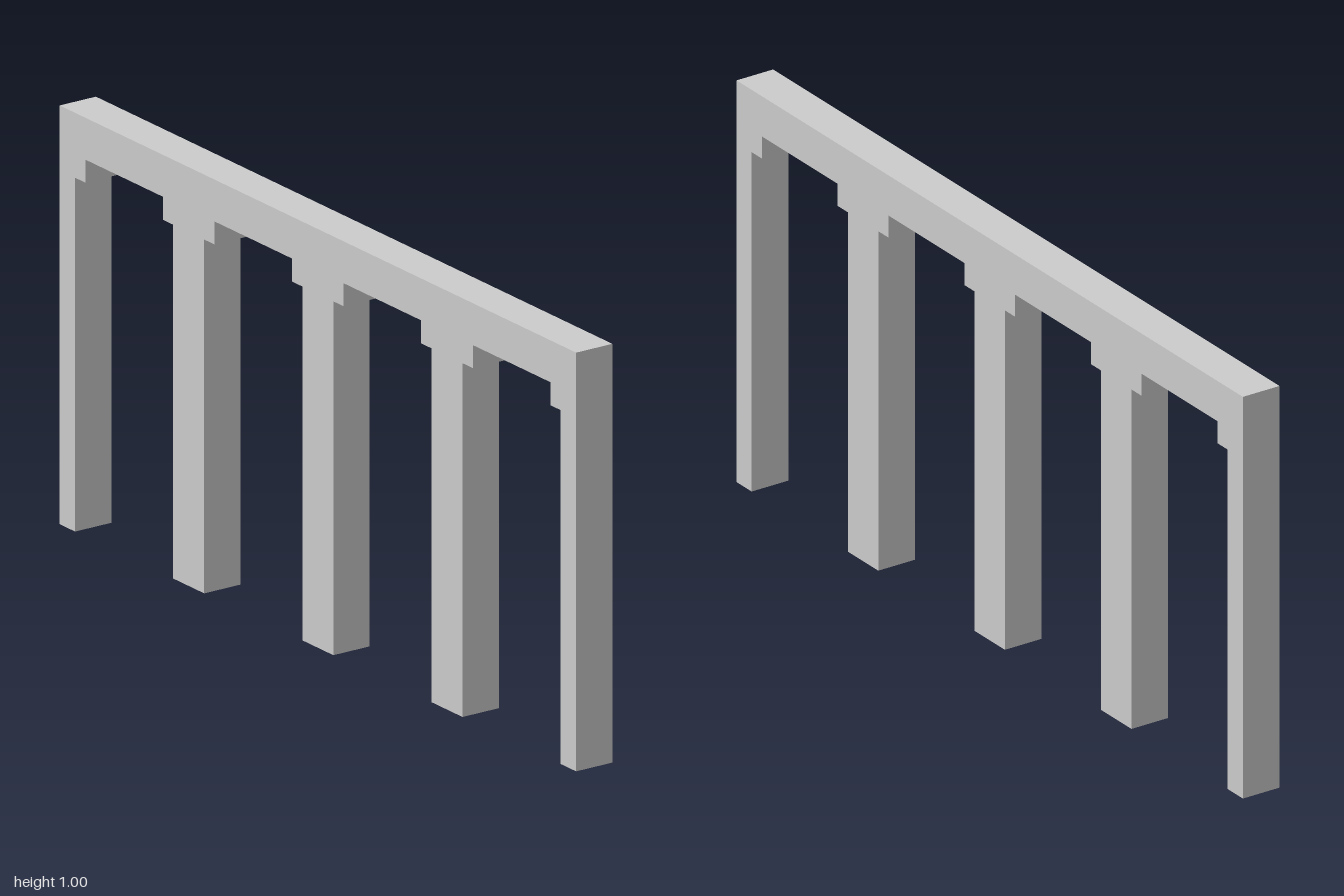
import * as THREE from 'three';

const DEPTH = 0.1;         // wall thickness
const BAY = 0.5;           // spacing of the pillar centres
const PILLAR = 0.06;       // half width of a pillar
const BRACKET = 0.1;       // half width of the stepped bracket on top of it
const BRACKET_Y = 0.845;   // underside of the brackets
const BEAM_Y = 0.9;        // underside of the beam

export function createModel() {
  const group = new THREE.Group();
  group.name = 'colonnade';

  // Outline: along the top and down the sides, then the stepped openings
  const outline = new THREE.Shape();
  outline.moveTo(1, 0);
  outline.lineTo(1, 1);
  outline.lineTo(-1, 1);
  outline.lineTo(-1, 0);
  for (let i = 0; i < 4; i++) {
    const left = -1 + i * BAY;
    const right = left + BAY;
    outline.lineTo(left + PILLAR, 0);
    outline.lineTo(left + PILLAR, BRACKET_Y);
    outline.lineTo(left + BRACKET, BRACKET_Y);
    outline.lineTo(left + BRACKET, BEAM_Y);
    outline.lineTo(right - BRACKET, BEAM_Y);
    outline.lineTo(right - BRACKET, BRACKET_Y);
    outline.lineTo(right - PILLAR, BRACKET_Y);
    outline.lineTo(right - PILLAR, 0);
  }
  outline.closePath();

  // Pillars, brackets and beam as one solid
  const geometry = new THREE.ExtrudeGeometry(outline, { depth: DEPTH, bevelEnabled: false });
  geometry.translate(0, 0, -DEPTH / 2);
  const frame = new THREE.Mesh(
    geometry,
    new THREE.MeshStandardMaterial({ color: 0xcccccc, flatShading: true })
  );
  frame.name = 'pillarsAndBeam';
  group.add(frame);
  return group;
}
